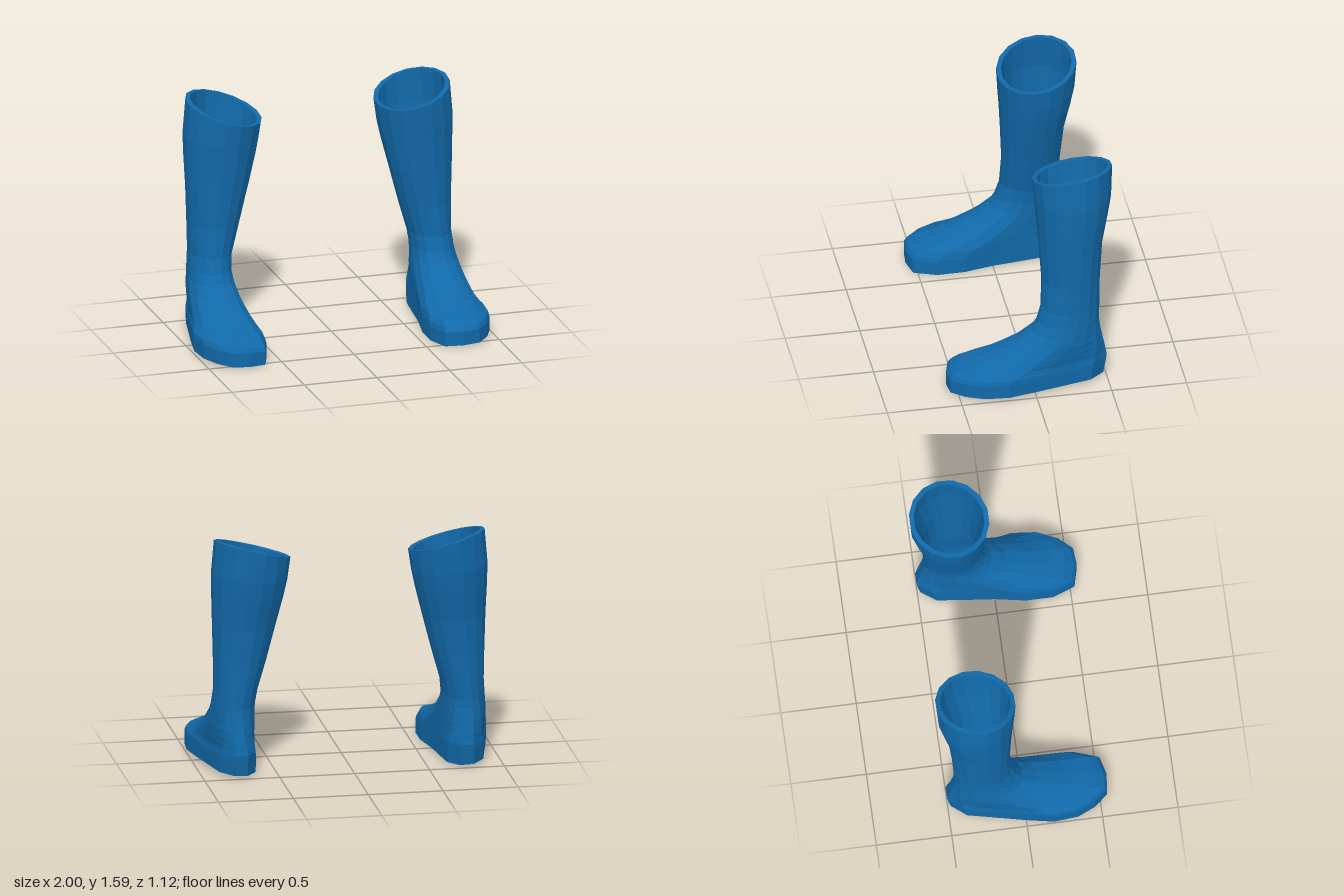
import * as THREE from 'three';

// Outline of the left foot seen from above: [x, z], toe -> outer side -> heel -> inner side
const FOOT = [
  [0.74, 0.56], [0.85, 0.55], [0.93, 0.46], [0.985, 0.34], [1.0, 0.18], [0.965, 0], [0.92, -0.2], [0.88, -0.38],
  [0.80, -0.48], [0.71, -0.48], [0.64, -0.38], [0.62, -0.2], [0.60, 0], [0.565, 0.2], [0.565, 0.38], [0.62, 0.53],
];
const N = FOOT.length;

// Horizontal sections: [y, inner x, outer x, back z, front z, roundness, tilt in x, tilt in z]
const SECTIONS = [
  [0.01, 0.565, 1.0, -0.48, 0.56, 0, 0.01, -0.005],
  [0.1, 0.565, 1.0, -0.495, 0.56, 0, 0.01, 0],
  [0.13, 0.567, 0.995, -0.5, 0.54, 0.02, 0.01, 0],
  [0.155, 0.573, 0.98, -0.505, 0.49, 0.1, 0, 0],
  [0.18, 0.582, 0.965, -0.5, 0.4, 0.2, 0, 0],
  [0.215, 0.592, 0.955, -0.495, 0.3, 0.35, 0, 0],
  [0.26, 0.602, 0.945, -0.487, 0.2, 0.5, 0, 0],
  [0.31, 0.61, 0.935, -0.477, 0.1, 0.65, 0, 0],
  [0.385, 0.62, 0.92, -0.462, 0.0, 0.8, 0, 0],
  [0.45, 0.624, 0.91, -0.456, -0.04, 0.92, 0, 0],
  [0.55, 0.612, 0.90, -0.46, -0.07, 1, 0, 0],
  [0.75, 0.555, 0.903, -0.467, -0.08, 1, 0, 0],
  [1.0, 0.49, 0.91, -0.487, -0.067, 1, 0, 0],
  [1.2, 0.44, 0.917, -0.527, -0.054, 1, 0, 0],
  [1.33, 0.417, 0.92, -0.552, -0.044, 1, 0.02, 0.012],
  [1.515, 0.397, 0.90, -0.563, -0.032, 1, 0.065, -0.04],
];
SECTIONS[14][7] = -0.012; // the calf line dips forward like the rim

// One ring of points, shrunk inward by inset
function ring([y, x0, x1, z0, z1, round, tiltX, tiltZ], inset = 0) {
  return FOOT.map(([fx, fz], i) => {
    const a = ((i - 0.5) / N) * Math.PI * 2;
    const u = THREE.MathUtils.lerp((fx - 0.7825) / 0.2175, Math.sin(a), round);
    const v = THREE.MathUtils.lerp((fz - 0.04) / 0.52, Math.cos(a), round);
    return [
      (x0 + x1) / 2 + u * ((x1 - x0) / 2 - inset),
      y + u * tiltX + v * tiltZ,
      (z0 + z1) / 2 + v * ((z1 - z0) / 2 - inset),
    ];
  });
}

// Ring collapsed to its centre, used to close a loft
function centre(points) {
  const c = [0, 1, 2].map((k) => points.reduce((s, p) => s + p[k], 0) / N);
  return points.map(() => c);
}

// Join successive rings; side = -1 mirrors the result
function loft(rings, side) {
  const pos = [];
  const tri = (a, b, c) => {
    if (a === b || b === c || a === c) return;
    for (const p of side > 0 ? [a, b, c] : [a, c, b]) pos.push(p[0] * side, p[1], p[2]);
  };
  for (let r = 0; r < rings.length - 1; r++) {
    for (let i = 0; i < N; i++) {
      const j = (i + 1) % N;
      tri(rings[r][i], rings[r][j], rings[r + 1][j]);
      tri(rings[r][i], rings[r + 1][j], rings[r + 1][i]);
    }
  }
  const geo = new THREE.BufferGeometry();
  geo.setAttribute('position', new THREE.Float32BufferAttribute(pos, 3));
  geo.computeVertexNormals();
  return geo;
}

export function createModel() {
  const blue = new THREE.MeshStandardMaterial({ color: 0x1169a9, flatShading: true });
  blue.name = 'boot blue';

  const outer = SECTIONS.map((s) => ring(s));
  const inner = SECTIONS.map((s, i) => ring(i === 0 ? [0.05, ...s.slice(1)] : s, 0.032)).reverse();
  const last = outer.length - 1;

  const parts = {
    sole: [centre(outer[0]), outer[0]],
    upper: outer,
    rim: [outer[last], inner[0]],
    lining: inner,
    insole: [inner[last], centre(inner[last])],
  };

  const model = new THREE.Group();
  model.name = 'pairOfBoots';
  for (const side of [1, -1]) {
    const boot = new THREE.Group();
    boot.name = side > 0 ? 'leftBoot' : 'rightBoot';
    for (const [name, rings] of Object.entries(parts)) {
      const mesh = new THREE.Mesh(loft(rings, side), blue);
      mesh.name = name;
      boot.add(mesh);
    }
    model.add(boot);
  }
  return model;
}
